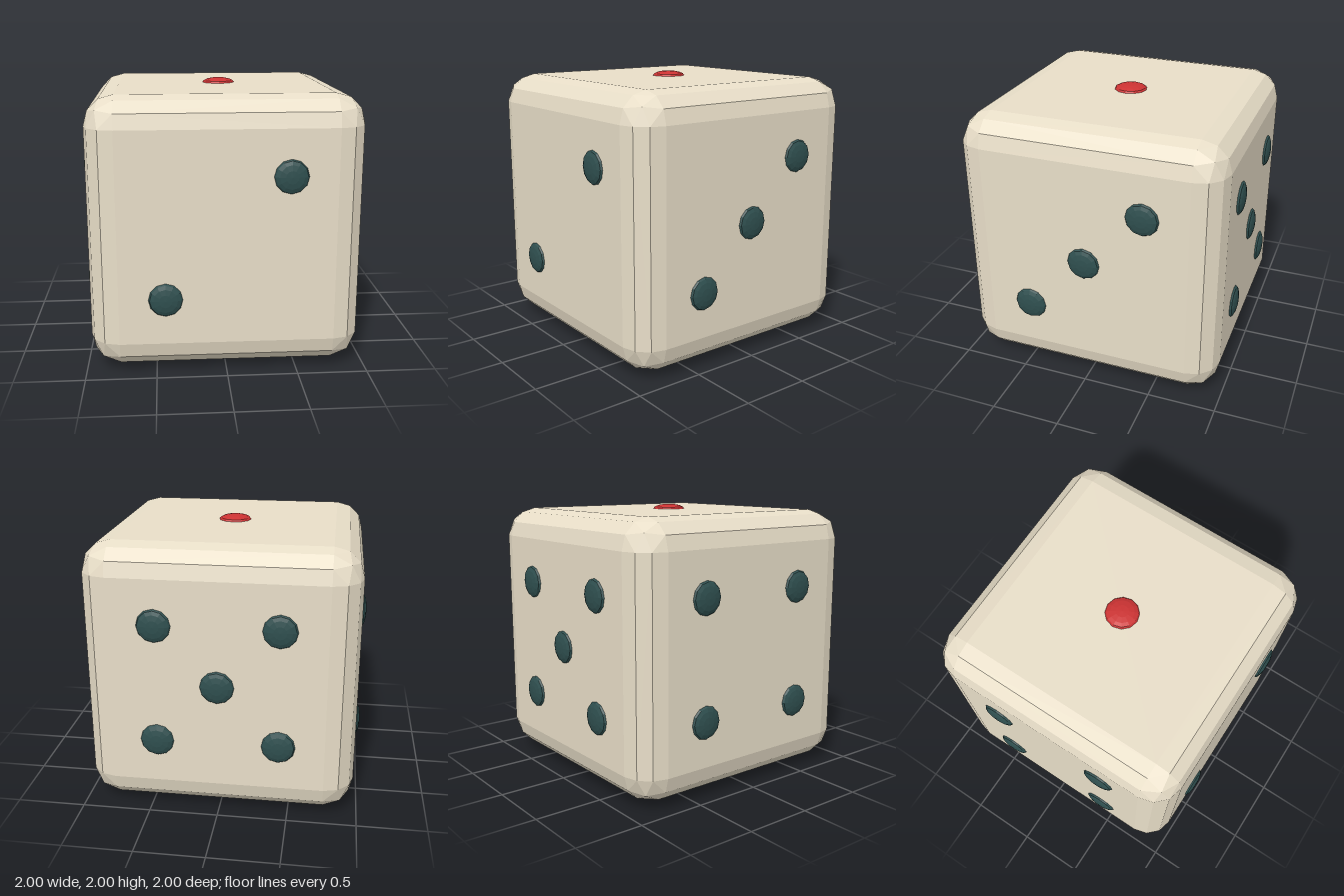
import * as THREE from 'three';
import { ConvexGeometry } from 'three/addons/geometries/ConvexGeometry.js';

const HALF = 0.965;    // half the width of the cube
const BEVEL = 0.21;    // edge radius
const STEPS = 3;       // bevel segments
const PIP = 0.43;      // pip spacing
const PIP_R = 0.12;
const PIP_H = 0.035;   // how far a pip stands out

// Hull of eight rounded corners
function bodyGeometry() {
  const points = [];
  const s = (i) => Math.sin((i / STEPS) * Math.PI / 2);
  for (const x of [-1, 1]) for (const y of [-1, 1]) for (const z of [-1, 1])
    for (let i = 0; i <= STEPS; i++)
      for (let j = 0; j <= STEPS - i; j++) {
        const p = new THREE.Vector3(s(i), s(j), s(STEPS - i - j)).normalize();
        p.multiplyScalar(BEVEL).addScalar(HALF - BEVEL);
        points.push(p.multiply(new THREE.Vector3(x, y, z)));
      }
  return new ConvexGeometry(points);
}

export function createModel() {
  const model = new THREE.Group();
  const ivory = new THREE.MeshStandardMaterial({ color: 0xe8dec8, flatShading: true });
  const dark = new THREE.MeshStandardMaterial({ color: 0x2f4f4f, flatShading: true });
  const red = new THREE.MeshStandardMaterial({ color: 0xcc3333, flatShading: true });

  const body = new THREE.Mesh(bodyGeometry(), ivory);
  body.name = 'body';
  body.position.y = 1;
  model.add(body);

  // Flattened sphere with its pole along +z
  const pipGeometry = new THREE.SphereGeometry(1, 12, 8)
    .rotateX(Math.PI / 2).scale(PIP_R, PIP_R, PIP_H);

  // Pip places on each face, as seen with the face turned to the front
  const corners = [[-1, -1], [1, 1], [-1, 1], [1, -1]];
  const diagonal = corners.slice(0, 2);
  const faces = [
    { name: 'topPips', turn: [-Math.PI / 2, 0], pips: [[0, 0]], material: red },
    { name: 'frontPips', turn: [0, 0], pips: diagonal },
    { name: 'leftPips', turn: [0, Math.PI / 2], pips: [...diagonal, [0, 0]] },
    { name: 'rightPips', turn: [0, -Math.PI / 2], pips: corners },
    { name: 'backPips', turn: [0, Math.PI], pips: [...corners, [0, 0]] },
    { name: 'bottomPips', turn: [Math.PI / 2, 0], pips: [...corners, [-1, 0], [1, 0]] },
  ];
  for (const { name, turn, pips, material = dark } of faces) {
    const face = new THREE.Group();
    face.name = name;
    face.position.y = 1;
    face.rotation.set(turn[0], turn[1], 0);
    for (const [u, v] of pips) {
      const pip = new THREE.Mesh(pipGeometry, material);
      pip.name = 'pip';
      pip.position.set(u * PIP, v * PIP, HALF);
      face.add(pip);
    }
    model.add(face);
  }
  return model;
}
